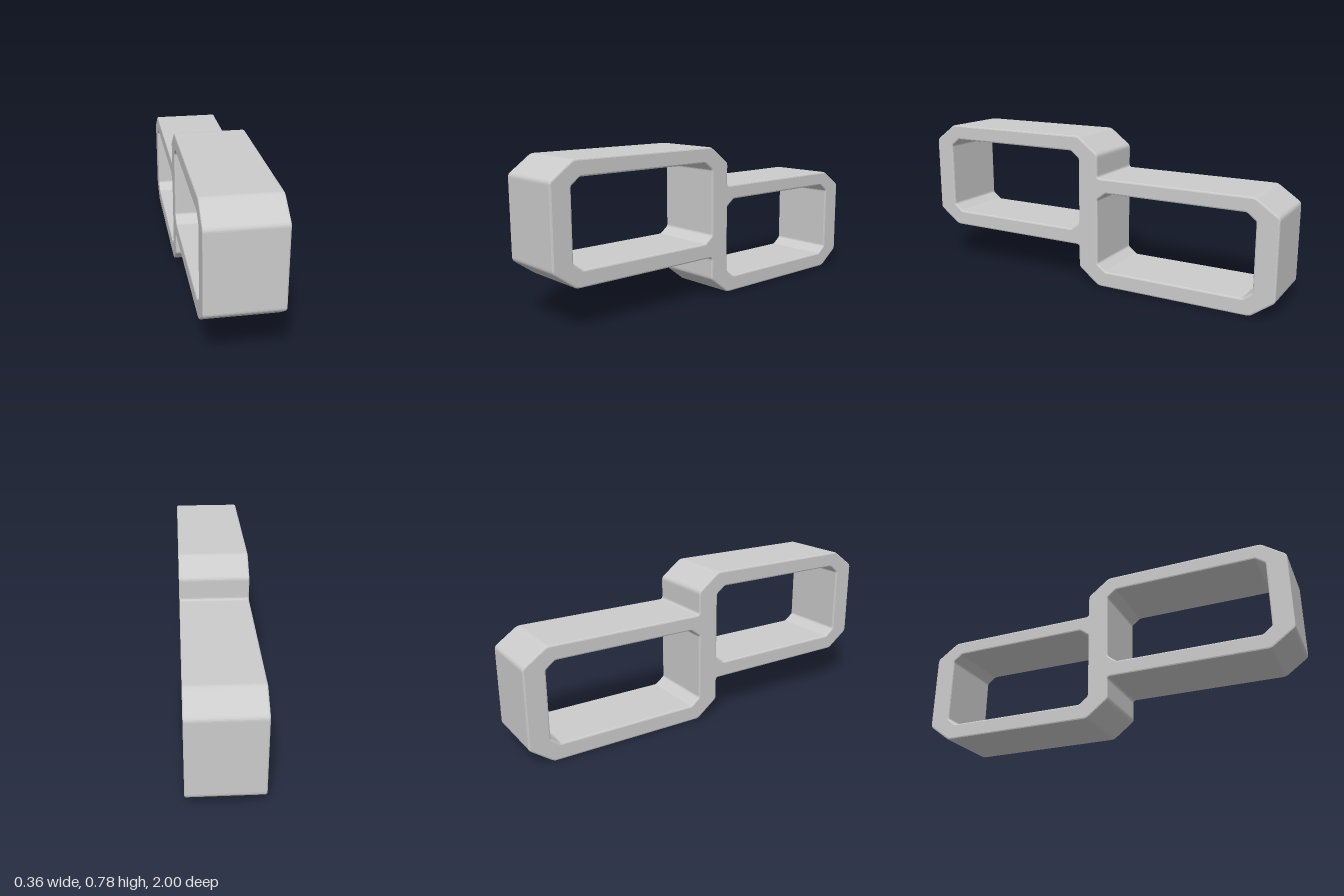
import * as THREE from 'three';

const WIDTH = 0.362, BEVEL = 0.008;

// Closed path whose corners are softened by a tiny curve
function softPath(path, points, r) {
  const v = points.map(([x, y]) => new THREE.Vector2(x, y));
  v.forEach((p, i) => {
    const prev = v[(i + v.length - 1) % v.length], next = v[(i + 1) % v.length];
    const a = p.clone().add(prev.clone().sub(p).setLength(r));
    const b = p.clone().add(next.clone().sub(p).setLength(r));
    if (i === 0) path.moveTo(a.x, a.y); else path.lineTo(a.x, a.y);
    path.quadraticCurveTo(p.x, p.y, b.x, b.y);
  });
  path.closePath();
  return path;
}

// Rectangle with chamfered corners
function chamferedRect(x0, x1, y0, y1, cx, cy) {
  return [
    [x0 + cx, y0], [x1 - cx, y0], [x1, y0 + cy], [x1, y1 - cy],
    [x1 - cx, y1], [x0 + cx, y1], [x0, y1 - cy], [x0, y0 + cy],
  ];
}

export function createModel() {
  const group = new THREE.Group();
  group.name = 'doubleLink';

  // Stepped outline of the two joined loops (profile x runs toward the back)
  const outline = [
    [-0.88, 0.207], [-0.055, 0.207], [-0.055, 0.088], [0.06, 0], [0.88, 0], [1, 0.088],
    [1, 0.492], [0.88, 0.575], [0.055, 0.575], [0.055, 0.695], [-0.06, 0.782],
    [-0.88, 0.782], [-1, 0.695], [-1, 0.293],
  ];
  const shape = softPath(new THREE.Shape(), outline, 0.015);

  // Openings of the front (upper) and back (lower) loops
  for (const [x0, x1, y0, y1] of [[-0.894, -0.055, 0.288, 0.703], [0.055, 0.89, 0.083, 0.5]]) {
    shape.holes.push(softPath(new THREE.Path(), chamferedRect(x0, x1, y0, y1, 0.048, 0.037), 0.008));
  }

  const geometry = new THREE.ExtrudeGeometry(shape, {
    depth: WIDTH - 2 * BEVEL, curveSegments: 4,
    bevelEnabled: true, bevelThickness: BEVEL, bevelSize: BEVEL, bevelOffset: -BEVEL, bevelSegments: 2,
  });
  geometry.translate(0, 0, -WIDTH / 2 + BEVEL);
  geometry.rotateY(Math.PI / 2);

  const frame = new THREE.Mesh(geometry, new THREE.MeshStandardMaterial({ color: 0xcccccc }));
  frame.name = 'linkFrame';
  group.add(frame);
  return group;
}
